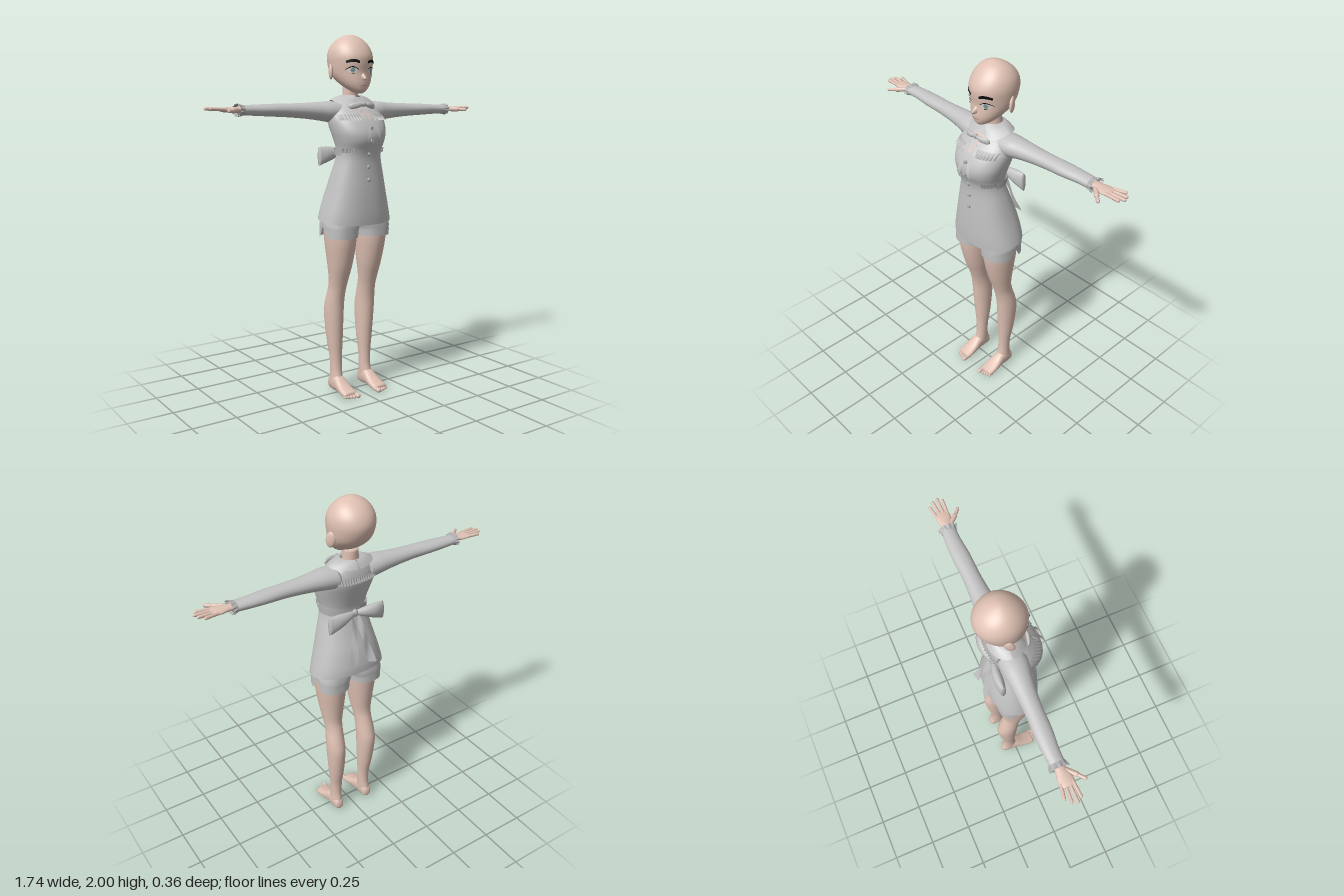
import * as THREE from 'three';

const mat = (name, color, side = THREE.FrontSide) => {
  const m = new THREE.MeshStandardMaterial({ color, side });
  m.name = name;
  return m;
};

// Smooths a list of cross-sections [t, uMin, uMax, vMin, vMax]
function smooth(rows, steps = 4) {
  const out = [], at = i => rows[Math.min(rows.length - 1, Math.max(0, i))];
  for (let i = 0; i < rows.length - 1; i++)
    for (let s = 0; s < steps; s++) {
      const t = s / steps;
      out.push(rows[i].map((b, k) => {
        const a = at(i - 1)[k], c = at(i + 1)[k], d = at(i + 2)[k];
        return b + 0.5 * t * (c - a + t * (2 * a - 5 * b + 4 * c - d + t * (3 * (b - c) + d - a)));
      }));
    }
  out.push(rows[rows.length - 1]);
  return out;
}

// Skins oval cross-sections along an axis; u and v are the next two axes in cyclic order
function loft(axis, rings, { n = 32, p = 1, cap = true, warp } = {}) {
  const pos = [], idx = [], k = 'xyz'.indexOf(axis);
  const put = (t, u, v) => {
    const q = [0, 0, 0];
    q[k] = t; q[(k + 1) % 3] = u; q[(k + 2) % 3] = v;
    if (warp) warp(q);
    pos.push(...q);
  };
  const pw = c => Math.sign(c) * Math.abs(c) ** p;
  rings.forEach(([t, u0, u1, v0, v1]) => {
    for (let j = 0; j < n; j++) {
      const a = j / n * Math.PI * 2;
      put(t, (u0 + u1) / 2 + (u1 - u0) / 2 * pw(Math.cos(a)), (v0 + v1) / 2 + (v1 - v0) / 2 * pw(Math.sin(a)));
    }
  });
  const L = rings.length - 1;
  for (let i = 0; i < L; i++)
    for (let j = 0; j < n; j++) {
      const a = i * n + j, b = i * n + (j + 1) % n;
      idx.push(a, b, b + n, a, b + n, a + n);
    }
  if (cap) [0, L].forEach((i, e) => {
    const [t, u0, u1, v0, v1] = rings[i], c = pos.length / 3;
    put(t, (u0 + u1) / 2, (v0 + v1) / 2);
    for (let j = 0; j < n; j++) {
      const a = i * n + j, b = i * n + (j + 1) % n;
      idx.push(...(e ? [c, a, b] : [c, b, a]));
    }
  });
  const g = new THREE.BufferGeometry();
  g.setAttribute('position', new THREE.Float32BufferAttribute(pos, 3));
  g.setIndex(idx);
  g.computeVertexNormals();
  return g;
}

// Thin surface from a rule (u, v) -> [x, y, z]
function sheet(nu, nv, fn) {
  const g = new THREE.PlaneGeometry(1, 1, nu, nv), P = g.attributes.position;
  for (let i = 0; i < P.count; i++) P.setXYZ(i, ...fn(P.getX(i) + 0.5, 0.5 - P.getY(i)));
  g.computeVertexNormals();
  return g;
}

// Depth of a lofted body at (x, y), on its front (side 1) or back (side -1)
function depth(rings, x, y, side = 1, p = 1) {
  let i = 0;
  while (i < rings.length - 2 && rings[i + 1][0] < y) i++;
  const a = rings[i], b = rings[i + 1], t = THREE.MathUtils.clamp((y - a[0]) / (b[0] - a[0]), 0, 1);
  const [, z0, z1, , hw] = a.map((q, k) => q + (b[k] - q) * t);
  const r = Math.min(1, Math.abs(x) / hw);
  return (z0 + z1) / 2 + side * (z1 - z0) / 2 * (1 - r ** (2 / p)) ** (p / 2);
}

// Rounded finger or toe between two points
function digit(a, b, r) {
  const A = new THREE.Vector3(...a), B = new THREE.Vector3(...b), d = B.clone().sub(A);
  const g = new THREE.CapsuleGeometry(r, d.length(), 5, 10);
  g.applyQuaternion(new THREE.Quaternion().setFromUnitVectors(new THREE.Vector3(0, 1, 0), d.normalize()));
  return g.translate(...A.add(B).multiplyScalar(0.5).toArray());
}

function mirrored(geo) {
  const g = geo.clone().scale(-1, 1, 1), a = g.index.array;
  for (let i = 0; i < a.length; i += 3) [a[i], a[i + 1]] = [a[i + 1], a[i]];
  return g;
}

export function createModel() {
  const model = new THREE.Group();
  const skin = mat('skin', 0xdfc1b3), cloth = mat('grey cloth', 0xc2c2c2, THREE.DoubleSide);
  const trim = mat('grey trim', 0xb0b0b0, THREE.DoubleSide), black = mat('black', 0x0c0c0c, THREE.DoubleSide);
  const white = mat('eye white', 0xe2dad6, THREE.DoubleSide), teal = mat('iris', 0x7d9a96, THREE.DoubleSide);
  const lip = mat('lip', 0xb58578, THREE.DoubleSide), bare = mat('bare chest', 0xdfc1b2, THREE.DoubleSide);
  const add = (name, geo, m) => {
    const mesh = new THREE.Mesh(geo, m);
    mesh.name = name;
    model.add(mesh);
  };
  const pair = (name, geo, m) => {
    add(name + 'Left', geo, m);
    add(name + 'Right', mirrored(geo), m);
  };
  const sym = rows => smooth(rows.map(([y, z0, z1, w]) => [y, z0, z1, -w, w]));

  // Head and neck
  const head = sym([[1.682, .035, .065, .012], [1.695, 0, .08, .038], [1.715, -.04, .087, .064], [1.74, -.085, .09, .086],
    [1.77, -.125, .088, .104], [1.8, -.15, .086, .115], [1.84, -.168, .092, .121], [1.88, -.174, .092, .123],
    [1.92, -.162, .075, .115], [1.955, -.135, .048, .094], [1.98, -.1, .018, .065], [1.995, -.065, -.012, .03], [2, -.042, -.035, .004]]);
  add('head', loft('y', head, { n: 48 }), skin);
  add('neck', loft('y', sym([[1.58, -.09, .02, .06], [1.64, -.08, .005, .046], [1.73, -.08, .01, .042]])), skin);
  add('nose', loft('z', smooth([[.075, -.017, .017, 1.748, 1.8], [.095, -.009, .009, 1.752, 1.782], [.112, -.003, .003, 1.758, 1.766]]), { n: 16 }), skin);
  const ear = new THREE.SphereGeometry(1, 20, 14).scale(.012, .043, .027).rotateX(-.2).rotateY(.45);
  pair('ear', ear.translate(.122, 1.8, -.045), skin);

  // Painted face, laid over the head
  const paint = (x0, x1, y0, y1, off) => sheet(14, 3, (u, v) => {
    const x = x0 + (x1 - x0) * u, y = y0(u) + (y1(u) - y0(u)) * v;
    return [x, y, depth(head, x, y) + off];
  });
  const arch = u => Math.sin(Math.PI * u);
  pair('brow', paint(.027, .09, u => 1.842 + .006 * arch(u), u => 1.855 + .009 * arch(u), .004), black);
  pair('eyeWhite', paint(.032, .085, u => 1.803 - .012 * arch(u), u => 1.808 + .014 * arch(u), .002), white);
  pair('iris', paint(.046, .07, u => 1.805 - .013 * arch(u), u => 1.805 + .016 * arch(u), .003), teal);
  pair('upperLash', paint(.029, .091, u => 1.807 + .014 * arch(u), u => 1.81 + .016 * arch(u), .004), black);
  pair('lowerLash', paint(.05, .065, () => 1.787, () => 1.79, .004), black);
  add('mouth', paint(-.02, .02, () => 1.722, () => 1.726, .002), lip);

  // Legs, feet and toes
  pair('leg', loft('y', smooth([[.03, -.088, 0, .072, .133], [.07, -.084, .01, .069, .134], [.12, -.076, 0, .067, .132],
    [.2, -.079, -.003, .065, .135], [.3, -.098, .002, .058, .147], [.45, -.115, .012, .053, .158], [.53, -.101, .018, .053, .157],
    [.6, -.08, .032, .052, .151], [.66, -.067, .05, .045, .155], [.75, -.074, .08, .03, .168], [.88, -.09, .108, .015, .185], [1, -.1, .112, .008, .19]])), skin);
  pair('foot', loft('z', smooth([[-.093, .09, .114, .02, .045], [-.08, .075, .128, .004, .075], [-.04, .07, .135, 0, .1],
    [0, .066, .138, .004, .094], [.05, .06, .145, .003, .062], [.09, .058, .147, 0, .042], [.122, .062, .143, .002, .03]]), { p: .85 }), skin);
  for (let i = 0; i < 5; i++) {
    const r = i ? .0085 : .013, x = i ? .076 + i * .0155 : .071;
    pair('toe' + (i + 1), digit([x, r + .002, .1], [x, r, .143 - i * .006], r), skin);
  }

  // Shorts, with a notch at each outer hem
  pair('shorts', loft('y', smooth([[.9, -.11, .115, .012, .2], [.94, -.111, .116, .008, .2], [.98, -.112, .116, -.004, .198], [1.08, -.1, .11, -.01, .17]]), {
    n: 64, cap: false, p: .8, warp: q => {
      if (q[0] > .14) q[1] += .07 * Math.max(0, 1 - Math.abs(q[2] + .012) / .035) * Math.max(0, (1.02 - q[1]) / .12);
    } }), cloth);

  // Tunic with flared, slightly tilted hem
  const P = .88;
  const torso = sym([[.993, -.14, .142, .217], [1.05, -.137, .145, .204], [1.15, -.118, .144, .177], [1.25, -.086, .139, .151],
    [1.33, -.062, .138, .13], [1.38, -.061, .148, .127], [1.43, -.074, .168, .14], [1.48, -.09, .167, .154], [1.54, -.108, .136, .163],
    [1.58, -.11, .1, .155], [1.615, -.104, .066, .128], [1.645, -.094, .03, .085], [1.665, -.085, .01, .05]]);
  add('tunic', loft('y', torso, { n: 64, p: P, cap: false, warp: q => {
    q[1] -= .15 * q[2] * THREE.MathUtils.clamp((1.2 - q[1]) / .2, 0, 1);
  } }), cloth);
  const onTorso = (x, y, off, side = 1) => [x, y, depth(torso, x, y, side, P) + side * off];
  for (let i = 0; i < 5; i++) {
    const [x, y, z] = onTorso(0, 1.5 - i * .07, .004);
    add('button' + (i + 1), new THREE.CylinderGeometry(.009, .011, .012, 16).rotateX(Math.PI / 2).translate(x, y, z), trim);
  }
  add('bareChest', sheet(12, 8, (u, v) => onTorso((u - .5) * .09 * (1 - .75 * v), 1.625 - .08 * v, .004)), bare);

  // Gathered yoke frills on chest and back
  const frill = (x0, x1, y, side) => sheet(72, 3, (u, v) => onTorso(x0 + (x1 - x0) * u, y - .032 * v,
    .004 + v * (.008 + .006 * Math.sin((x0 + (x1 - x0) * u) * 420)), side));
  pair('chestFrill', frill(.04, .15, 1.572, 1), trim);
  pair('backFrill', frill(0, .14, 1.59, -1), trim);

  // Round collar in two flaps
  pair('collar', sheet(32, 4, (u, v) => {
    const a = .2 + u * (Math.PI - .24), c = Math.cos(a), edge = Math.sin(Math.PI * Math.min(1, u * 6) / 2);
    const w = v * (.55 + .45 * edge), y1 = c > 0 ? 1.65 - .043 * c : 1.65 + .014 * c;
    return [Math.sin(a) * (.052 + .078 * w), 1.675 + (y1 - 1.675) * w + .007 * Math.sin(Math.PI * v), -.03 + c * ((c > 0 ? .05 : .055) + (c > 0 ? .065 : .035) * w)];
  }), cloth);

  // Neck ribbon
  const ribbon = (x0, x1, y0, y1, w) => sheet(3, 16, (u, v) =>
    onTorso(x0 + (x1 - x0) * v + (u - .5) * w, y0 + (y1 - y0) * v, .014 + .003 * Math.sin(v * 9)));
  add('neckKnot', new THREE.SphereGeometry(.013, 14, 10).translate(0, 1.625, .09), trim);
  pair('neckBowLoop', loft('x', smooth([[.004, 1.618, 1.632, .084, .096], [.035, 1.606, 1.636, .078, .1], [.07, 1.6, 1.632, .07, .088], [.084, 1.606, 1.622, .068, .076]]), { n: 16 }), cloth);
  add('neckTailRight', ribbon(-.006, -.032, 1.62, 1.4, .018), cloth);
  add('neckTailLeft', ribbon(.006, .05, 1.62, 1.41, .018), cloth);
  pair('neckShortTail', ribbon(.012, .052, 1.615, 1.54, .014), cloth);

  // Waist sash, side gathers and back bow
  pair('sash', sheet(30, 2, (u, v) => {
    const a = -.2 + u * (Math.PI / 2 + .2), y = 1.388 - .035 * v;
    return [.136 * Math.cos(a) ** P, y, .04 - Math.sign(a) * .11 * Math.abs(Math.sin(a)) ** P];
  }), trim);
  pair('sideGather', sheet(24, 3, (u, v) => {
    const [x, y, z] = onTorso(.085 + .042 * u, 1.392 - .025 * v, .006);
    return [x + .008 * u, y, z + .005 * Math.sin(u * 28)];
  }), trim);
  add('bowKnot', new THREE.SphereGeometry(1, 16, 12).scale(.018, .022, .016).translate(0, 1.365, -.085), trim);
  pair('bowLoop', loft('x', smooth([[.006, 1.352, 1.378, -.096, -.074], [.06, 1.33, 1.388, -.118, -.07], [.12, 1.305, 1.395, -.124, -.072], [.168, 1.288, 1.393, -.112, -.084]]), { n: 20 }), cloth);
  pair('bowTail', sheet(3, 14, (u, v) => [.008 + .05 * v + (u - .5) * (.024 + .03 * v),
    1.36 - .27 * v - .012 * u * v, -.09 - .08 * v + .005 * Math.sin(v * 8 + u * 3)]), cloth);

  // Sleeves with frilled cuffs
  pair('sleeve', loft('x', smooth([[.09, 1.52, 1.64, -.1, .05], [.16, 1.53, 1.642, -.096, .044], [.22, 1.54, 1.638, -.09, .03],
    [.3, 1.55, 1.633, -.085, .018], [.4, 1.558, 1.63, -.082, .01], [.5, 1.563, 1.628, -.087, .008], [.6, 1.568, 1.624, -.085, -.002], [.675, 1.571, 1.621, -.08, -.003]])), cloth);
  pair('cuffFrill', sheet(72, 3, (u, v) => {
    const a = u * Math.PI * 2, r = 1.04 + v * (.18 + .12 * Math.sin(a * 11));
    return [.66 + .03 * v, 1.596 + .026 * r * Math.cos(a), -.042 + .04 * r * Math.sin(a)];
  }), trim);

  // Hands
  pair('palm', loft('x', smooth([[.65, 1.582, 1.613, -.066, -.018], [.7, 1.583, 1.613, -.068, -.012], [.735, 1.584, 1.612, -.076, -.001], [.765, 1.587, 1.611, -.078, 0], [.785, 1.592, 1.608, -.074, -.006]]), { n: 24 }), skin);
  [[-.068, -.082, .828], [-.049, -.056, .853], [-.029, -.03, .862], [-.01, -.006, .846]].forEach(([z0, z1, x], i) =>
    pair('finger' + (i + 1), digit([.76, 1.6, z0], [x, 1.604, z1], .0085), skin));
  pair('thumbBase', digit([.7, 1.596, -.022], [.742, 1.594, .02], .013), skin);
  pair('thumb', digit([.74, 1.594, .018], [.776, 1.592, .05], .009), skin);

  return model;
}
